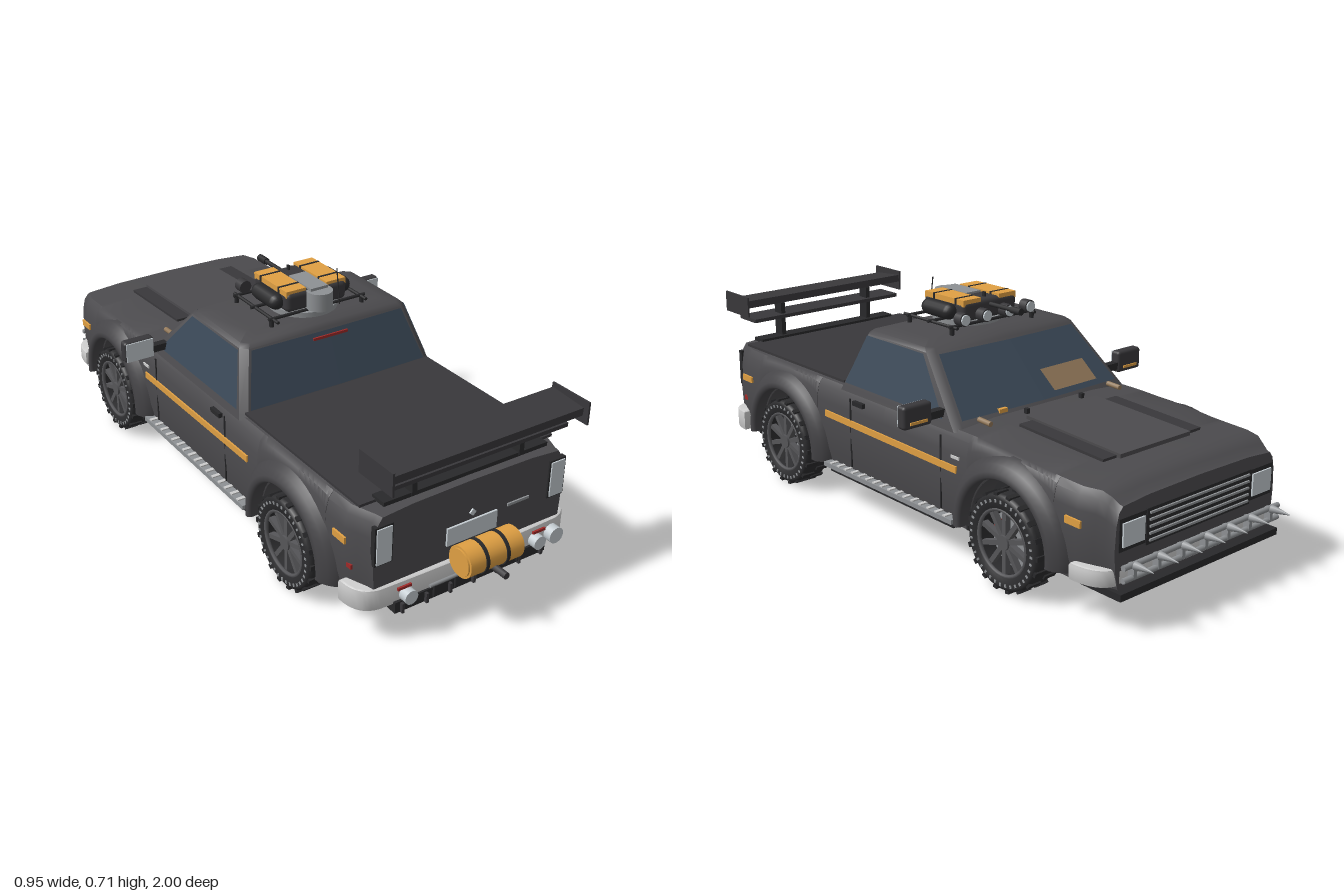
import * as THREE from 'three';
import { toCreasedNormals, mergeGeometries } from 'three/addons/utils/BufferGeometryUtils.js';
import { RoundedBoxGeometry } from 'three/addons/geometries/RoundedBoxGeometry.js';

const mat = (color, side = THREE.FrontSide) => new THREE.MeshStandardMaterial({ color, side });
const paint = mat(0x4c4b4e), dark = mat(0x39383b), black = mat(0x29292b), chrome = mat(0xcccccc), steel = mat(0x8e9194);
const amber = mat(0xe0a043), red = mat(0xa02a28), glass = mat(0x3b4958, THREE.DoubleSide), lamp = mat(0xc3cbd0);
const tan = mat(0x93795a, THREE.DoubleSide), flareMat = mat(0x454447, THREE.DoubleSide), rim = mat(0x565659, THREE.DoubleSide);

// Wheel positions along the truck; the nose points to -z
const AXLES = [-0.55, 0.51], HUB = 0.145, ARCH = 0.17;

export function createModel() {
  const root = new THREE.Group();
  const add = (name, geo, m, x = 0, y = 0, z = 0, parent = root) => {
    const mesh = new THREE.Mesh(geo, m);
    mesh.name = name;
    mesh.position.set(x, y, z);
    parent.add(mesh);
    return mesh;
  };
  const box = (name, m, w, h, d, x, y, z, parent) => add(name, new THREE.BoxGeometry(w, h, d), m, x, y, z, parent);
  // Cylinder along a chosen axis
  const rod = (name, m, r, len, axis, x, y, z, seg = 12, parent = root, r2 = r) => {
    const g = new THREE.CylinderGeometry(r, r2, len, seg);
    if (axis === 'x') g.rotateZ(Math.PI / 2);
    if (axis === 'z') g.rotateX(Math.PI / 2);
    return add(name, g, m, x, y, z, parent);
  };
  const both = (fn) => [-1, 1].forEach(fn);
  const quad = (name, m, ...p) => {
    const g = new THREE.BufferGeometry();
    g.setAttribute('position', new THREE.Float32BufferAttribute(p.flat(), 3));
    g.setIndex([0, 1, 2, 0, 2, 3]);
    g.computeVertexNormals();
    return add(name, g, m);
  };
  // Skin over closed rings of equal length, capped at both ends
  const loft = (rings, crease = 0.6) => {
    const n = rings[0].length, last = rings.length - 1, pos = rings.flat(2), idx = [];
    const centre = (r) => [0, 1, 2].map((k) => r.reduce((s, p) => s + p[k], 0) / n);
    pos.push(...centre(rings[0]), ...centre(rings[last]));
    const c0 = n * rings.length, c1 = c0 + 1;
    for (let j = 0; j < n; j++) {
      const k = (j + 1) % n;
      for (let i = 0; i < last; i++) {
        const a = i * n + j, b = i * n + k;
        idx.push(a, b, b + n, a, b + n, a + n);
      }
      idx.push(c0, k, j, c1, last * n + j, last * n + k);
    }
    const g = new THREE.BufferGeometry();
    g.setAttribute('position', new THREE.Float32BufferAttribute(pos, 3));
    g.setIndex(idx);
    return toCreasedNormals(g, crease);
  };
  const lerp = THREE.MathUtils.lerp, step = THREE.MathUtils.smoothstep;

  // Body: cross-sections along z, with the sill lifted over the wheels
  const topAt = (z) => lerp(0.392, 0.368, step(-z, 0.3, 0.86)) - 0.03 * step(-z, 0.85, 0.905);
  const plan = (z) => 1 - 0.1 * step(Math.abs(z < 0 ? z + 0.05 : z), 0.74, 0.86);
  const stations = [-0.905, -0.895, -0.875, -0.85, -0.8, 0, 0.76, 0.8, 0.83, 0.85].map((z) => [z, 0.11]);
  for (const c of AXLES) {
    stations.push([c - ARCH - 1e-4, 0.11], [c + ARCH + 1e-4, 0.11]);
    for (let i = 0; i <= 20; i++) {
      const a = (Math.PI * i) / 20;
      stations.push([c - ARCH * Math.cos(a), HUB + ARCH * Math.sin(a)]);
    }
  }
  stations.sort((a, b) => a[0] - b[0]);
  const widths = [[0, 0.338], [0.25, 0.352], [0.5, 0.356], [0.78, 0.352], [0.93, 0.343], [1, 0.328]];
  const body = stations.map(([z, low]) => {
    const side = widths.map(([t, w]) => [w * plan(z), lerp(low, topAt(z), t), z]);
    const crown = [[0.2, topAt(z) + 0.008, z], [0, topAt(z) + 0.011, z], [-0.2, topAt(z) + 0.008, z]];
    return [...side, ...crown, ...side.map(([x, y]) => [-x, y, z]).reverse()];
  });
  add('body', loft(body), paint);
  box('floor', black, 0.54, 0.21, 1.6, 0, 0.21, -0.03);
  box('bedCover', dark, 0.65, 0.008, 0.56, 0, 0.402, 0.51);

  // Cab: tapered shell with inset glass
  const cab = (t, o = 0) => ({ x: 0.337 - 0.05 * t + o, r: 0.235 - 0.075 * t + o, f: -0.315 + 0.175 * t - o, y: 0.4 + 0.175 * t });
  const cabRing = ({ x, r, f, y }, c = 0.02) => [[-x + c, y, r], [0, y + 0.004, r + 0.003], [x - c, y, r], [x, y, r - c], [x, y, f + c],
    [x - c, y, f], [0, y + 0.004, f - 0.008], [-x + c, y, f], [-x, y, f + c], [-x, y, r - c]];
  add('cab', loft([cabRing(cab(-0.1)), cabRing(cab(0)), cabRing(cab(0.94)), cabRing(cab(1, -0.008)), cabRing({ x: 0.23, r: 0.11, f: -0.09, y: 0.585 })]), paint);
  const lo = cab(0.05, 0.004), hi = cab(0.92, 0.004);
  both((s) => {
    // Each screen is made in halves to follow its bow
    for (const [name, k, bow] of [['windshield', 'f', -0.008], ['rearWindow', 'r', 0.003]])
      quad(name, glass, [0, lo.y, lo[k] + bow], [s * (lo.x - 0.03), lo.y, lo[k]], [s * (hi.x - 0.03), hi.y, hi[k]], [0, hi.y, hi[k] + bow]);
    quad('sideWindow', glass, [s * lo.x, lo.y, lo.f + 0.05], [s * lo.x, lo.y, lo.r - 0.03], [s * hi.x, hi.y, hi.r - 0.025], [s * hi.x, hi.y, hi.f + 0.035]);
  });
  quad('dashPaper', tan, [-0.23, 0.425, -0.306], [-0.05, 0.425, -0.31], [-0.04, 0.48, -0.256], [-0.22, 0.48, -0.252]);
  box('rearCabLight', red, 0.12, 0.008, 0.006, 0, 0.545, 0.18);

  // Hood panel, vents and markers
  const hood = new THREE.Group();
  hood.name = 'hoodDetails';
  hood.position.set(0, 0.394, -0.57);
  hood.rotation.x = -0.045;
  root.add(hood);
  box('hoodPanel', paint, 0.28, 0.012, 0.36, 0, 0.002, 0, hood);
  both((s) => {
    box('hoodVent', dark, 0.05, 0.008, 0.32, s * 0.17, 0, -0.01, hood);
    box('hoodPin', black, 0.012, 0.015, 0.012, s * 0.11, 0.006, 0.21, hood);
    rod('washer', tan, 0.008, 0.05, 'z', s * 0.26, 0.003, 0.22, 8, hood);
  });
  box('hoodMarker', amber, 0.03, 0.012, 0.018, 0.16, 0.41, -0.31);

  // Side trim
  both((s) => {
    for (const [a, b] of [[0.72, 0.775], [-0.34, 0.29], [-0.82, -0.765]]) {
      const stripe = box('stripe', amber, 0.006, 0.02, b - a, s * 0.356, 0.289 + 0.0138 * (a + b) / 2, (a + b) / 2);
      stripe.rotation.x = -0.0138;
    }
    for (const z of [0.16, -0.27]) box('doorSeam', black, 0.003, 0.22, 0.005, s * 0.354, 0.26, z);
    box('doorHandle', black, 0.012, 0.014, 0.05, s * 0.355, 0.362, 0.115);
    box('badge', chrome, 0.004, 0.008, 0.035, s * 0.356, 0.32, -0.335);
    box('step', steel, 0.035, 0.014, 0.62, s * 0.355, 0.13, -0.025);
    box('sill', black, 0.03, 0.02, 0.6, s * 0.34, 0.115, -0.025);
    for (let i = 0; i < 16; i++) box('stepTooth', chrome, 0.028, 0.006, 0.012, s * 0.356, 0.138, -0.3 + i * 0.0367);
    box('rearMarker', red, 0.006, 0.014, 0.03, s * 0.345, 0.222, 0.775);
    // Mirror
    add('mirror', new RoundedBoxGeometry(0.1, 0.068, 0.035, 3, 0.01), dark, s * 0.425, 0.437, -0.245);
    box('mirrorGlass', lamp, 0.09, 0.06, 0.004, s * 0.425, 0.437, -0.227);
    box('mirrorIndicator', amber, 0.06, 0.008, 0.004, s * 0.425, 0.42, -0.264);
    box('mirrorArm', black, 0.07, 0.022, 0.025, s * 0.35, 0.425, -0.245);
  });

  // Wheels with tread blocks, spokes, brakes and arch flares
  const V = (x, y) => new THREE.Vector2(x, y);
  const tyreGeo = new THREE.LatheGeometry([V(0.096, -0.042), V(0.125, -0.045), V(0.134, -0.04), V(0.137, -0.03), V(0.137, 0.03),
    V(0.134, 0.04), V(0.125, 0.045), V(0.096, 0.042), V(0.092, 0.03), V(0.092, -0.03), V(0.096, -0.042)], 40).rotateZ(-Math.PI / 2);
  const ringOf = (n, make) => mergeGeometries(Array.from({ length: n }, (_, i) => make(i).rotateX((i * 2 * Math.PI) / n)));
  const treadGeo = ringOf(36, (i) => new THREE.BoxGeometry(0.042, 0.008, 0.014).translate(i % 2 ? 0.022 : -0.022, 0.1375, 0));
  const studGeo = ringOf(36, () => new THREE.BoxGeometry(0.004, 0.009, 0.006).translate(0.0445, 0.119, 0));
  const spokeGeo = ringOf(10, () => new THREE.BoxGeometry(0.018, 0.08, 0.014).translate(0.024, 0.053, 0));
  const flareGeo = new THREE.LatheGeometry([V(0.172, 0.325), V(0.168, 0.377), V(0.175, 0.386), V(0.19, 0.384), V(0.21, 0.37), V(0.225, 0.355), V(0.23, 0.335)],
    28, -Math.PI / 2 - 0.1, Math.PI + 0.2).rotateZ(-Math.PI / 2);
  // Turn the swept half so that it arches upward
  flareGeo.computeBoundingBox();
  const { min, max } = flareGeo.boundingBox;
  if (max.z - min.z < max.y - min.y) flareGeo.rotateX(max.z > -min.z ? -Math.PI / 2 : Math.PI / 2);
  else if (-min.y > max.y) flareGeo.rotateX(Math.PI);
  both((s) => AXLES.forEach((z) => {
    const wheel = new THREE.Group();
    wheel.name = 'wheel';
    wheel.position.set(s * 0.335, 0.142, z);
    if (s < 0) wheel.rotation.y = Math.PI;
    root.add(wheel);
    add('tyre', tyreGeo, mat(0x2c2c2e, THREE.DoubleSide), 0, 0, 0, wheel);
    add('tread', treadGeo, black, 0, 0, 0, wheel);
    add('sidewallStuds', studGeo, steel, 0, 0, 0, wheel);
    add('spokes', spokeGeo, rim, 0, 0, 0, wheel);
    const lip = add('rimLip', new THREE.TorusGeometry(0.094, 0.006, 6, 36), rim, 0.038, 0, 0, wheel);
    lip.rotation.y = Math.PI / 2;
    rod('hub', rim, 0.022, 0.03, 'x', 0.024, 0, 0, 16, wheel);
    rod('brakeDisc', steel, 0.08, 0.008, 'x', -0.005, 0, 0, 28, wheel);
    box('caliper', red, 0.025, 0.05, 0.03, -0.012, 0.02, 0.06, wheel);
    rod('axle', black, 0.018, 0.1, 'x', -0.05, 0, 0, 10, wheel);
    const flare = add('archFlare', flareGeo, flareMat, 0, HUB + 0.005, z);
    if (s < 0) flare.rotation.y = Math.PI;
  }));

  // Wrap-around bumpers, from a bowed plan outline
  const bumper = (name, dir, zIn, zOut, y, h) => {
    const s = new THREE.Shape();
    s.moveTo(-0.362, zIn);
    s.quadraticCurveTo(-0.362, zOut - 0.015, -0.3, zOut - 0.006);
    s.quadraticCurveTo(0, zOut + 0.006, 0.3, zOut - 0.006);
    s.quadraticCurveTo(0.362, zOut - 0.015, 0.362, zIn);
    const g = new THREE.ExtrudeGeometry(s, { depth: h - 0.016, bevelSize: 0.006, bevelThickness: 0.008, bevelSegments: 2, curveSegments: 10 });
    g.rotateX(-Math.PI / 2);
    if (dir > 0) g.rotateY(Math.PI);
    add(name, toCreasedNormals(g, 0.6), chrome, 0, y + 0.008, 0);
  };
  bumper('frontBumper', -1, 0.8, 0.905, 0.122, 0.05);
  bumper('rearBumper', 1, 0.77, 0.86, 0.112, 0.066);

  // Nose: grille, headlights, splitter and spiked rail
  box('grille', black, 0.42, 0.1, 0.01, 0, 0.26, -0.905);
  for (let i = 0; i < 5; i++) box('grilleSlat', steel, 0.4, 0.006, 0.008, 0, 0.222 + i * 0.019, -0.911);
  both((s) => {
    box('headlightFrame', black, 0.1, 0.09, 0.012, s * 0.258, 0.262, -0.902);
    box('headlight', lamp, 0.08, 0.065, 0.008, s * 0.258, 0.262, -0.909);
  });
  box('splitter', black, 0.64, 0.02, 0.14, 0, 0.104, -0.86);
  for (const y of [0.15, 0.185]) rod('spikeRail', steel, 0.008, 0.63, 'x', 0, y, -0.93, 8);
  for (let i = -3; i <= 3; i++) {
    rod('spike', steel, 0.013, 0.06, 'z', i * 0.0925, 0.185, -0.968, 8, root, 0.001).rotation.set(0, Math.PI, 0);
    root.children.at(-1).geometry.rotateY(Math.PI);
    box('railPost', steel, 0.012, 0.04, 0.02, i * 0.0925, 0.168, -0.928);
  }

  // Tail: lights, plate, tank, bar and diffuser
  both((s) => {
    box('tailLightFrame', black, 0.058, 0.118, 0.016, s * 0.293, 0.31, 0.847);
    box('tailLight', lamp, 0.047, 0.108, 0.008, s * 0.293, 0.31, 0.855);
    box('rearReflector', red, 0.044, 0.008, 0.006, s * 0.232, 0.165, 0.87);
    rod('rearLamp', lamp, 0.021, 0.03, 'z', s * 0.222, 0.138, 0.875, 20);
  });
  rod('rearLamp', lamp, 0.025, 0.03, 'z', 0.285, 0.138, 0.872, 20);
  box('plate', lamp, 0.17, 0.055, 0.006, 0, 0.252, 0.853);
  box('emblem', lamp, 0.016, 0.016, 0.005, 0, 0.302, 0.852).rotation.z = Math.PI / 4;
  box('trimBar', steel, 0.075, 0.008, 0.005, 0.16, 0.28, 0.852);
  rod('tank', amber, 0.046, 0.18, 'x', 0, 0.216, 0.918, 28);
  for (const x of [-0.035, 0.035]) rod('tankStrap', black, 0.049, 0.01, 'x', x, 0.216, 0.918, 28);
  both((s) => rod('tankEnd', amber, 0.04, 0.006, 'x', s * 0.092, 0.216, 0.918, 24));
  rod('towPin', dark, 0.01, 0.15, 'z', 0, 0.186, 0.925);
  rod('rearBar', steel, 0.005, 0.32, 'x', 0, 0.147, 0.885, 8);
  for (let i = -2; i <= 2; i++) rod('rearBarPost', black, 0.004, 0.04, 'y', i * 0.072, 0.128, 0.885, 6);
  box('diffuser', black, 0.52, 0.034, 0.14, 0, 0.106, 0.8);
  for (let i = -3; i <= 3; i++) box('diffuserFin', dark, 0.008, 0.03, 0.1, i * 0.08, 0.104, 0.83);

  // Rear wing
  box('wingBase', black, 0.55, 0.012, 0.05, 0, 0.408, 0.8);
  box('upperWing', dark, 0.635, 0.024, 0.12, 0, 0.536, 0.842).rotation.x = 0.08;
  box('lowerWing', dark, 0.6, 0.012, 0.095, 0, 0.482, 0.822);
  both((s) => {
    box('wingEndPlate', dark, 0.006, 0.068, 0.14, s * 0.32, 0.532, 0.85);
    box('wingStrut', black, 0.016, 0.12, 0.04, s * 0.18, 0.466, 0.808);
  });

  // Roof rack with lamps
  both((s) => {
    rod('rackRail', black, 0.005, 0.25, 'z', s * 0.155, 0.607, 0.015, 8);
    for (const z of [-0.09, 0.11]) rod('rackFoot', black, 0.007, 0.04, 'y', s * 0.16, 0.59, z, 8);
  });
  for (const z of [-0.09, 0.01, 0.11]) rod('rackBar', black, 0.005, 0.34, 'x', 0, 0.609, z, 8);
  for (const x of [-0.13, -0.045, 0.045, 0.13]) {
    rod('roofLamp', dark, 0.02, 0.03, 'z', x, 0.63, -0.1, 16);
    rod('roofLampLens', lamp, 0.016, 0.006, 'z', x, 0.63, -0.117, 16);
  }

  // Roof turret with two crates, drums, barrel and aerial
  rod('turretBase', steel, 0.105, 0.016, 'y', 0, 0.598, 0.03, 28);
  add('turret', new RoundedBoxGeometry(0.21, 0.06, 0.19, 3, 0.015), dark, 0, 0.64, 0.015);
  rod('turretTail', steel, 0.04, 0.055, 'y', 0, 0.64, 0.12, 20);
  box('turretSpine', steel, 0.06, 0.012, 0.12, 0, 0.67, 0.06);
  both((s) => {
    box('crate', amber, 0.068, 0.02, 0.18, s * 0.07, 0.667, 0.013);
    for (const z of [-0.04, 0.06]) box('crateStrap', black, 0.07, 0.022, 0.008, s * 0.07, 0.667, z);
    add('drum', new THREE.CapsuleGeometry(0.025, 0.09, 6, 14).rotateX(Math.PI / 2), black, s * 0.117, 0.638, 0.02);
  });
  rod('barrel', black, 0.007, 0.17, 'z', 0, 0.652, -0.13, 10);
  rod('muzzle', black, 0.011, 0.04, 'z', 0, 0.652, -0.195, 10);
  box('sight', black, 0.006, 0.02, 0.01, 0, 0.675, -0.05);
  rod('aerial', black, 0.0018, 0.11, 'y', 0.07, 0.66, 0.115, 6).rotation.x = -0.15;

  // Underside boxes
  box('exhaustBox', steel, 0.16, 0.04, 0.1, -0.1, 0.105, 0.62);
  both((s) => box('chassisMount', dark, 0.06, 0.03, 0.16, s * 0.2, 0.105, -0.5));
  return root;
}
